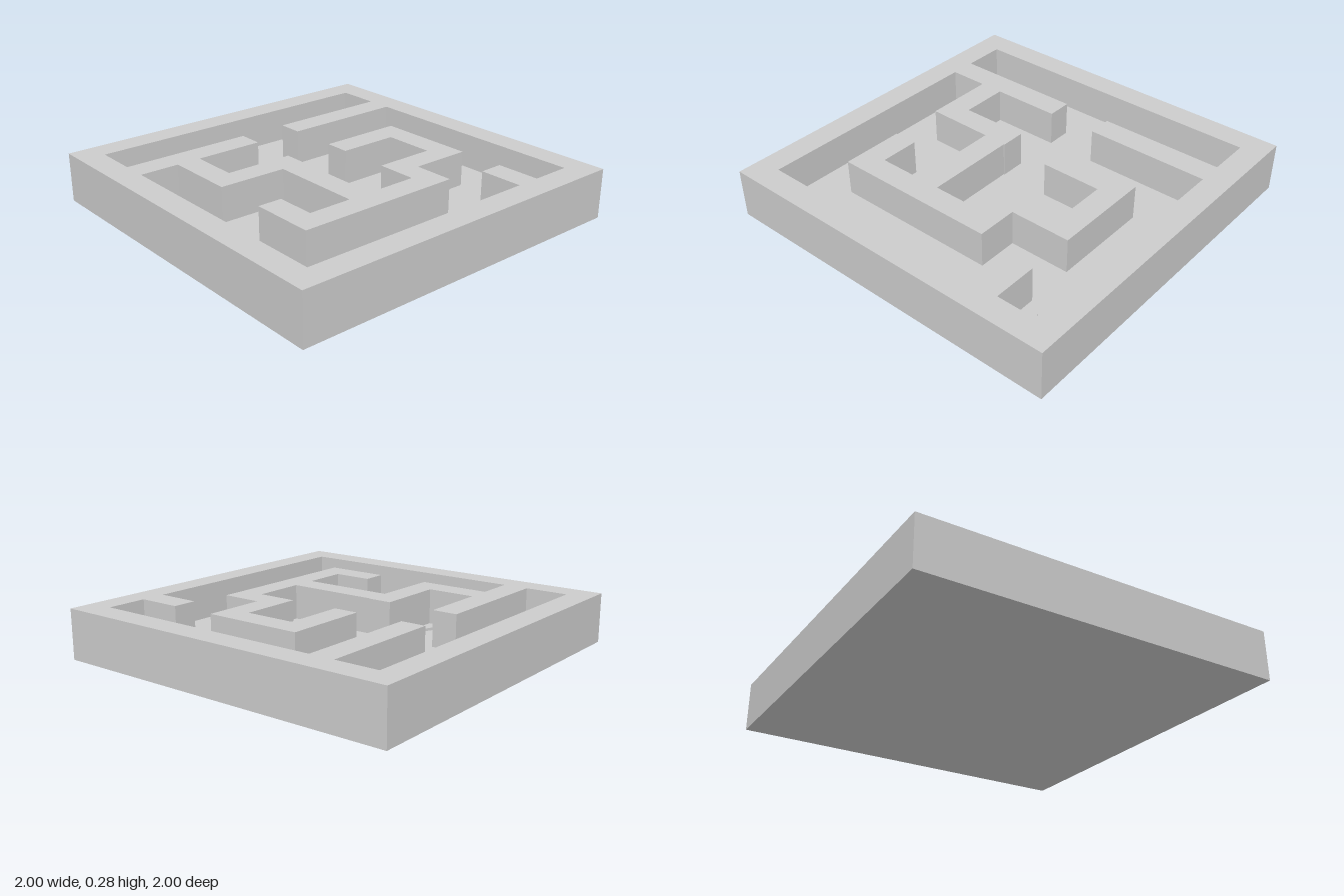
import * as THREE from 'three';

const FLOOR = 0.08, TOP = 0.275;
const material = new THREE.MeshStandardMaterial({ color: 0xcccccc, flatShading: true });

// Plan outline from [x, z] pairs, extruded upward from y0 to y1
const toPoints = (pairs) => pairs.map(([x, z]) => new THREE.Vector2(x, -z));
function raise(name, shape, y0, y1) {
  const geometry = new THREE.ExtrudeGeometry(shape, { depth: y1 - y0, bevelEnabled: false });
  geometry.rotateX(-Math.PI / 2).translate(0, y0, 0);
  const mesh = new THREE.Mesh(geometry, material);
  mesh.name = name;
  return mesh;
}

export function createModel() {
  const model = new THREE.Group();
  model.name = 'mazeTray';

  // Base slab
  const base = new THREE.Mesh(new THREE.BoxGeometry(2, FLOOR, 2), material);
  base.name = 'base';
  base.position.y = FLOOR / 2;
  model.add(base);

  // Rim and maze walls: a square block (counter-clockwise) with the winding corridor cut out
  const corridor = [
    [-0.86, -0.86], [-0.62, -0.86], [-0.62, -0.16], [-0.48, -0.16], [-0.48, -0.86],
    [0.86, -0.86], [0.86, -0.635], [0.615, -0.635], [0.615, -0.5], [0.86, -0.5],
    [0.86, 0.86], [-0.48, 0.86], [-0.48, 0.64], [-0.08, 0.64], [-0.075, 0.26],
    [0.445, 0.26], [0.445, 0.505], [0.225, 0.505], [0.225, 0.64], [0.58, 0.64],
    [0.58, -0.295], [0.355, -0.295], [0.355, -0.635], [-0.205, -0.635], [-0.205, -0.16],
    [-0.065, -0.16], [-0.065, -0.5], [0.22, -0.5], [0.22, -0.16], [0.445, -0.16],
    [0.445, 0.125], [-0.07, 0.125], [-0.07, 0.12], [-0.21, 0.12], [-0.21, 0.505],
    [-0.48, 0.505], [-0.48, 0.12], [-0.62, 0.12], [-0.62, 0.86], [-0.86, 0.86],
  ];
  const walls = new THREE.Shape(toPoints([[-1, 1], [1, 1], [1, -1], [-1, -1]]));
  walls.holes.push(new THREE.Path(toPoints(corridor)));
  model.add(raise('walls', walls, FLOOR, TOP));

  // Slight raised marks on the corridor floor
  const marks = [
    [[-0.81, 0.8], [-0.705, 0.67], [-0.67, 0.71], [-0.665, 0.755], [-0.69, 0.805], [-0.74, 0.83], [-0.785, 0.82]],
    [[-0.43, 0.735], [-0.41, 0.69], [-0.355, 0.67], [-0.315, 0.675], [-0.285, 0.695]],
    [[-0.325, 0.445], [-0.275, 0.325], [-0.265, 0.365], [-0.28, 0.42]],
    [[0.8, -0.81], [0.67, -0.71], [0.685, -0.69], [0.715, -0.675]],
    [[0.1, -0.285], [0.145, -0.32], [0.14, -0.305], [0.11, -0.28]],
  ];
  marks.forEach((pairs, i) => {
    model.add(raise(`floorMark${i + 1}`, new THREE.Shape(toPoints(pairs)), FLOOR, FLOOR + 0.015));
  });

  return model;
}
